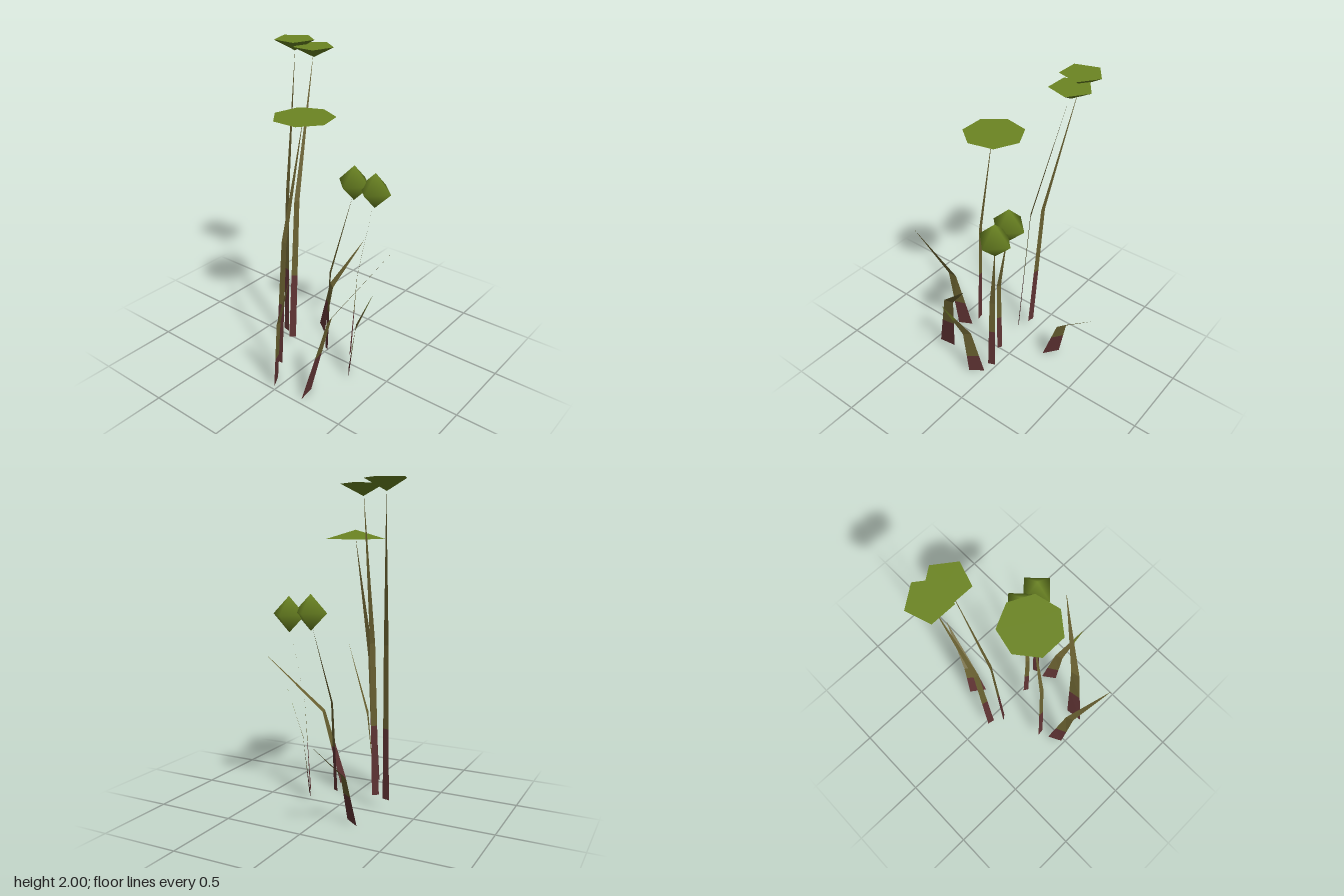
import * as THREE from 'three';

const V = (p) => new THREE.Vector3(...p);
const mat = (name, color, side = THREE.FrontSide) => {
  const m = new THREE.MeshStandardMaterial({ color, side });
  m.name = name;
  return m;
};

export function createModel() {
  const model = new THREE.Group();
  const root = mat('rootRed', 0x623535, THREE.DoubleSide);
  const stalk = mat('stalkOlive', 0x6c6332, THREE.DoubleSide);
  const green = mat('leafGreen', 0x6c8523);

  const add = (parent, name, geometry, material) => {
    const mesh = new THREE.Mesh(geometry, material);
    mesh.name = name;
    parent.add(mesh);
    return mesh;
  };

  // flat strip through successive left/right edge pairs
  const strip = (rows) => {
    const pts = [];
    for (let i = 0; i < rows.length - 1; i++) {
      const [a, b] = rows[i], [c, d] = rows[i + 1];
      pts.push(a, b, d);
      if (c !== d) pts.push(a, d, c);
    }
    const g = new THREE.BufferGeometry().setFromPoints(pts);
    g.computeVertexNormals();
    return g;
  };

  // bent ribbon: two base corners, two corners at the bend, one pointed tip
  const ribbon = (name, base, bend, tip, redShare, tipShare = 0) => {
    const group = new THREE.Group();
    group.name = name;
    const b = base.map(V), k = bend.map(V), t = V(tip);
    const change = b.map((p, i) => p.clone().lerp(k[i], redShare));
    add(group, name + 'Base', strip([b, change]), root);
    if (tipShare) {
      const upper = k.map((p) => p.clone().lerp(t, 1 - tipShare));
      add(group, name + 'Middle', strip([change, k, upper]), stalk);
      const tipMesh = add(group, name + 'Tip', strip([upper, [t, t]]), tipGreen);
      tipMesh.name = name + 'Tip';
    } else {
      add(group, name + 'Upper', strip([change, k, [t, t]]), stalk);
    }
    model.add(group);
  };
  const tipGreen = mat('tipGreen', 0x6f7a28, THREE.DoubleSide);

  // grass blades
  ribbon('leftBackBlade', [[-0.48, 0, -0.02], [-0.393, 0, -0.066]],
    [[-0.498, 0.495, 0.035], [-0.448, 0.48, 0.02]], [-0.59, 0.935, 0.23], 0.44);
  ribbon('leftFrontBlade', [[-0.466, 0, 0.19], [-0.352, 0, 0.174]],
    [[-0.32, 0.515, 0.275], [-0.257, 0.515, 0.26]], [0.065, 0.945, 0.5], 0.52);
  ribbon('frontBlade', [[-0.118, 0, 0.288], [-0.036, 0, 0.228]],
    [[-0.118, 0.37, 0.33], [-0.072, 0.385, 0.305]], [-0.147, 0.705, 0.475], 0.41, 0.5);
  ribbon('rightBlade', [[0.18, 0, -0.145], [0.25, 0, -0.24]],
    [[0.282, 0.31, -0.15], [0.32, 0.31, -0.205]], [0.585, 0.575, -0.107], 0.6);

  // stalks carrying the caps and buds
  ribbon('wideCapStalk', [[-0.346, 0.075, -0.121], [-0.34, 0.075, -0.074]],
    [[-0.295, 0.92, -0.092], [-0.291, 0.92, -0.058]], [-0.145, 1.68, -0.035], 0.5);
  ribbon('backCupStalk', [[-0.046, 0.075, -0.276], [-0.036, 0.075, -0.322]],
    [[0.018, 1.05, -0.302], [0.024, 1.05, -0.335]], [0.2, 1.95, -0.387], 0.47);
  ribbon('frontCupStalk', [[-0.096, 0.075, -0.228], [-0.068, 0.075, -0.193]],
    [[-0.013, 1.05, -0.232], [0.007, 1.05, -0.207]], [0.218, 1.93, -0.26], 0.47);
  ribbon('backBudStalk', [[-0.052, 0.075, 0.066], [-0.035, 0.075, 0.034]],
    [[-0.038, 0.65, 0.08], [-0.022, 0.65, 0.058]], [0.1, 1.16, 0.14], 0.5);
  ribbon('frontBudStalk', [[-0.011, 0.075, 0.214], [0.033, 0.075, 0.195]],
    [[0.028, 0.65, 0.232], [0.057, 0.65, 0.214]], [0.118, 1.15, 0.28], 0.55);

  // wide shallow cap, softly shaded on top
  const capGeo = new THREE.ConeGeometry(0.1845, 0.055, 7, 1, true, Math.PI / 2);
  const n = capGeo.attributes.normal;
  for (let i = 0; i < n.count; i++) n.setXYZ(i, 0, 1, 0);
  add(model, 'wideCap', capGeo, green).position.set(-0.142, 1.6925, -0.038);
  const under = add(model, 'wideCapUnderside',
    new THREE.CircleGeometry(0.1845, 7).rotateX(Math.PI / 2), green);
  under.position.set(-0.142, 1.665, -0.038);

  // five-sided cups, point down with a flat top
  for (const [name, x, top, z, h] of [
    ['backCup', 0.2, 2, -0.39, 0.072],
    ['frontCup', 0.2215, 1.97, -0.26, 0.067],
  ]) {
    const g = new THREE.CylinderGeometry(0.1275, 0, h, 5, 1, false, Math.PI / 2).toNonIndexed();
    g.computeVertexNormals();
    add(model, name, g, green).position.set(x, top - h / 2, z);
  }

  // smooth eight-faced buds
  for (const [name, x, y, z] of [
    ['backBud', 0.107, 1.23, 0.14],
    ['frontBud', 0.121, 1.213, 0.283],
  ]) add(model, name, new THREE.SphereGeometry(0.112, 4, 2), green).position.set(x, y, z);

  return model;
}
